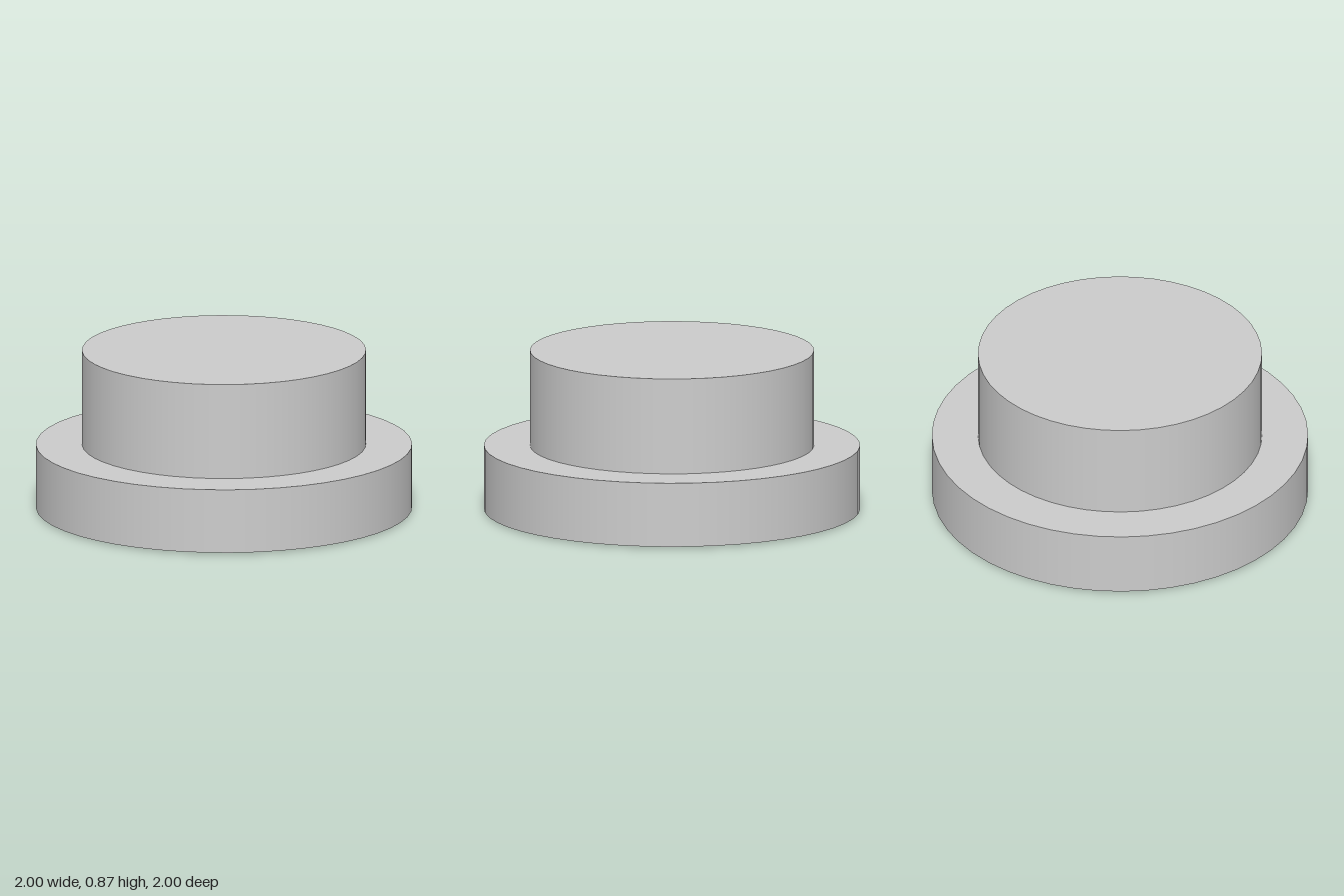
import * as THREE from 'three';

export function createModel() {
  const group = new THREE.Group();
  group.name = 'flangedPlug';
  const material = new THREE.MeshStandardMaterial({ color: 0xcccccc });

  // Upright disc from its radius and its bottom and top heights
  function addDisc(name, radius, bottom, top) {
    const geometry = new THREE.CylinderGeometry(radius, radius, top - bottom, 48);
    const mesh = new THREE.Mesh(geometry, material);
    mesh.name = name;
    mesh.position.y = (bottom + top) / 2;
    group.add(mesh);
  }

  // Core runs the full height and stands slightly proud below the flange
  addDisc('core', 0.755, 0, 0.868);
  addDisc('flange', 1, 0.008, 0.353);

  return group;
}
